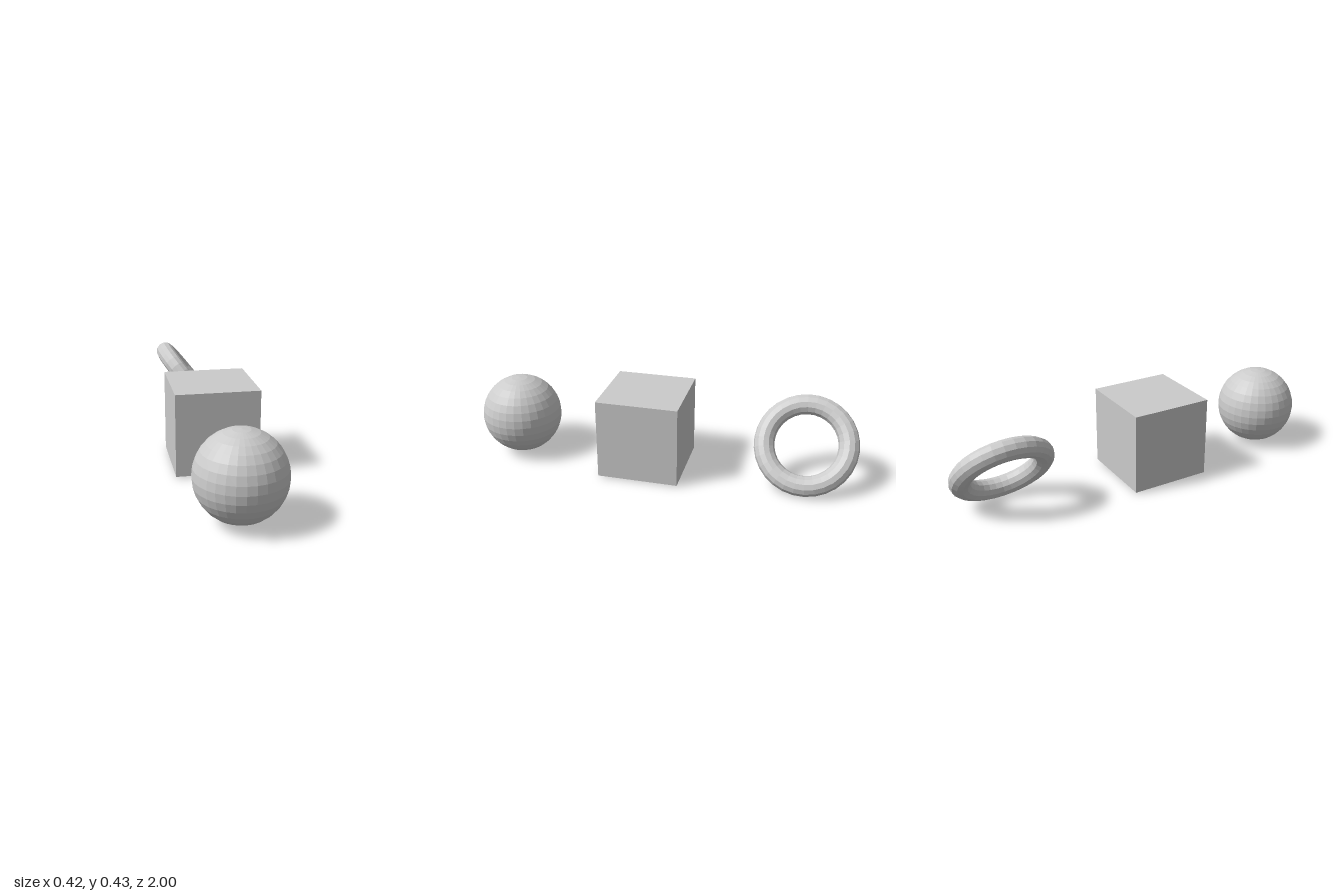
import * as THREE from 'three';

export function createModel() {
  const group = new THREE.Group();
  const material = new THREE.MeshStandardMaterial({ color: 0xcccccc, flatShading: true });
  const size = 0.418, centreY = 0.217;

  const add = (name, geometry, z) => {
    const mesh = new THREE.Mesh(geometry, material);
    mesh.name = name;
    mesh.position.set(0, centreY, z);
    group.add(mesh);
    return mesh;
  };

  // Three separate solids in a row from front to back
  add('sphere', new THREE.SphereGeometry(size / 2, 30, 16), 0.79);
  add('cube', new THREE.BoxGeometry(size, size, size), 0.084);

  // Ring tilted so its axis points up and to the left side
  const ring = add('ring', new THREE.TorusGeometry(0.209, 0.052, 12, 30), -0.739);
  ring.quaternion.setFromUnitVectors(
    new THREE.Vector3(0, 0, 1),
    new THREE.Vector3(0.787, 0.617, 0).normalize()
  );

  return group;
}
